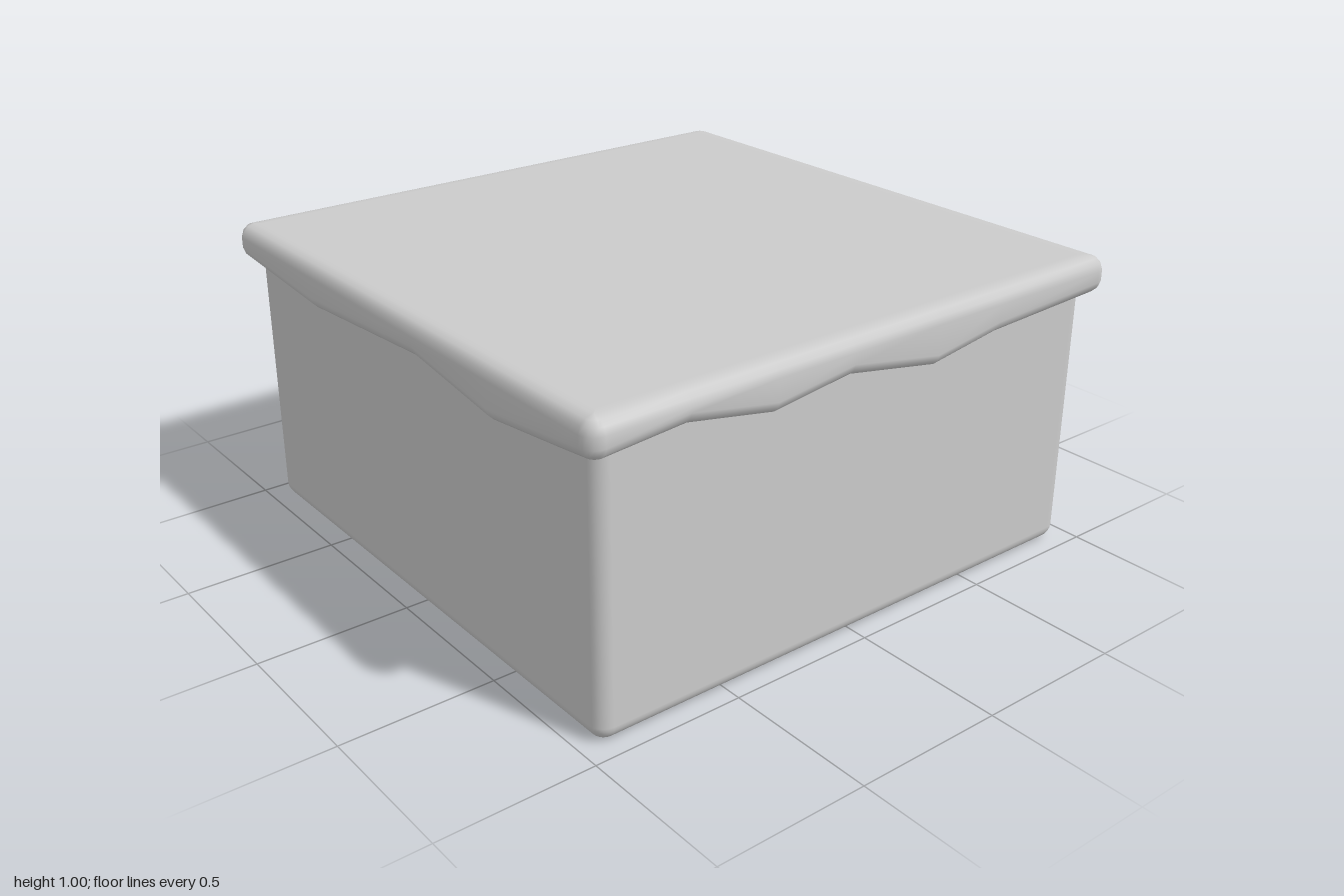
import * as THREE from 'three';
import { RoundedBoxGeometry } from 'three/addons/geometries/RoundedBoxGeometry.js';

const CORNER = 0.05; // plan radius of the lid
const EDGE_Y = 0.88; // height of the lid's lower edge at the corners

// Wavy lower edge per side as [position along side, height]: front, +x, back, -x
const frontWave = [[-0.48, 0.845], [0.14, 0.885], [0.53, 0.83], [0.83, 0.865]];
const sideWave = [[-0.68, 0.9], [-0.38, 0.845], [-0.1, 0.88], [0.24, 0.82], [0.5, 0.86]];
const backWave = [[-0.68, 0.87], [-0.45, 0.9], [-0.08, 0.865], [0.28, 0.89], [0.6, 0.84]];
const waves = [frontWave, sideWave, backWave, sideWave];

// Lid section from top centre to underside: inset, then height from top or from wavy edge
const section = [
  { inset: 1, top: 0 }, { inset: 0.07, top: 0 }, { inset: 0.045, top: 0 },
  { inset: 0.022, top: 0.007 }, { inset: 0.007, top: 0.022 }, { inset: 0, top: 0.045 },
  { inset: 0, edge: 0.04 }, { inset: 0.007, edge: 0.02 }, { inset: 0.022, edge: 0.006 },
  { inset: 0.045, edge: 0 }, { inset: 0.09, edge: 0.012 },
];

// One rounded-square loop, counter-clockwise seen from above
function loop({ inset, top, edge }) {
  const r = Math.max(CORNER - inset, 0);
  const c = 1 - inset - r;
  const points = [];
  waves.forEach((wave, side) => {
    const add = (x, z, y) => {
      for (let k = 0; k < side; k++) [x, z] = [z, -x];
      points.push([x, edge === undefined ? 1 - top : y + edge, z]);
    };
    for (const [u, y] of wave) add(u * Math.min(1, c / 0.95), c + r, y);
    for (let i = 0; i <= 5; i++) {
      const a = (i / 5) * Math.PI / 2;
      add(c + r * Math.sin(a), c + r * Math.cos(a), EDGE_Y);
    }
  });
  return points;
}

// Skin the loops into one smooth surface
function lidGeometry() {
  const loops = section.map(loop);
  const n = loops[0].length;
  const index = [];
  for (let i = 0; i < loops.length - 1; i++) {
    for (let j = 0; j < n; j++) {
      const a = i * n + j, b = i * n + (j + 1) % n;
      index.push(a, a + n, b, b, a + n, b + n);
    }
  }
  const geometry = new THREE.BufferGeometry();
  geometry.setAttribute('position', new THREE.Float32BufferAttribute(loops.flat(2), 3));
  geometry.setIndex(index);
  geometry.computeVertexNormals();
  // The collapsed centre points all face straight up
  for (let j = 0; j < n; j++) geometry.attributes.normal.setXYZ(j, 0, 1, 0);
  return geometry;
}

export function createModel() {
  const group = new THREE.Group();
  group.name = 'groundBlock';
  const material = new THREE.MeshStandardMaterial({ color: 0xcccccc });

  // Soil block with softly rounded edges, its top tucked into the lid
  const soil = new THREE.Mesh(new RoundedBoxGeometry(1.9, 0.96, 1.9, 4, 0.05), material);
  soil.name = 'soilBlock';
  soil.position.y = 0.48;

  // Overhanging turf layer with a wavy lower edge
  const turf = new THREE.Mesh(lidGeometry(), material);
  turf.name = 'turfLid';

  group.add(soil, turf);
  return group;
}
